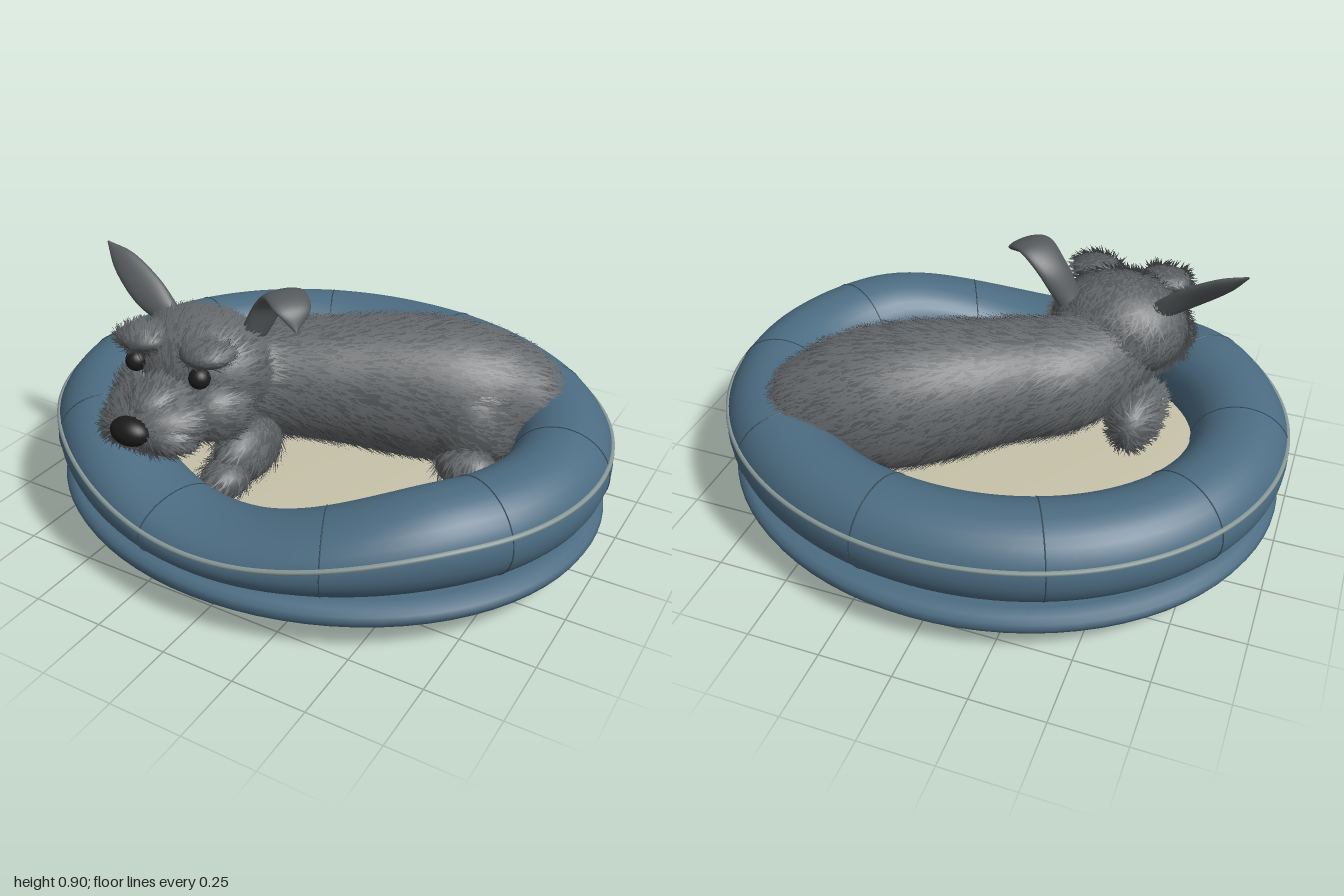
import * as THREE from 'three';

const mat = (name, color, side = THREE.FrontSide) => {
  const m = new THREE.MeshStandardMaterial({ color, side });
  m.name = name;
  return m;
};
const V = (x, y, z) => new THREE.Vector3(x, y, z);

export function createModel() {
  const model = new THREE.Group();
  model.name = 'dogInBed';
  const blue = mat('bedBlue', 0x4c6c82), cream = mat('cushionCream', 0xc6c1a8);
  const piping = mat('pipingGrey', 0x8b9c9b), seam = mat('seamSlate', 0x39505f);
  const coat = mat('coatGrey', 0x54585a), strand = mat('strandGrey', 0x66696c, THREE.DoubleSide);
  const black = mat('noseBlack', 0x1b1b1c);

  const add = (parent, name, geo, material) => {
    const m = new THREE.Mesh(geo, material);
    m.name = name;
    parent.add(m);
    return m;
  };
  let seed = 7;
  const rand = () => (seed = (seed * 16807) % 2147483647) / 2147483647;

  // Grid surface from a point function; closed in both index directions if asked
  function grid(nu, nv, fn) {
    const pos = [], idx = [];
    for (let i = 0; i <= nu; i++)
      for (let j = 0; j < nv; j++) pos.push(...fn(i / nu, j / nv * Math.PI * 2).toArray());
    for (let i = 0; i < nu; i++)
      for (let j = 0; j < nv; j++) {
        const a = i * nv + j, b = i * nv + (j + 1) % nv, c = a + nv, d = b + nv;
        idx.push(a, c, b, b, c, d);
      }
    const g = new THREE.BufferGeometry();
    g.setAttribute('position', new THREE.Float32BufferAttribute(pos, 3));
    g.setIndex(idx);
    g.computeVertexNormals();
    return g;
  }

  // Elliptical loft: sections are [x, y, z, half width, half height]
  function loft(sections, across, nu = 28, nv = 24) {
    const spine = new THREE.CatmullRomCurve3(sections.map(s => V(s[0], s[1], s[2])), false, 'catmullrom');
    const size = new THREE.CatmullRomCurve3(sections.map(s => V(s[3], s[4], 0)), false, 'catmullrom');
    return grid(nu, nv, (u, a) => {
      const t = spine.getTangent(u), r = size.getPoint(u);
      const side = across.clone().addScaledVector(t, -across.dot(t)).normalize();
      const up = side.clone().cross(t);
      return spine.getPoint(u).addScaledVector(side, Math.cos(a) * r.x).addScaledVector(up, Math.sin(a) * r.y);
    });
  }

  // Fur blades scattered by area, lying along the flow direction
  function fur(geo, count, flow, length = 0.05) {
    const p = geo.attributes.position, n = geo.attributes.normal, ix = geo.index.array;
    const tri = new THREE.Triangle(), sums = [];
    let total = 0;
    for (let f = 0; f < ix.length; f += 3) {
      tri.setFromAttributeAndIndices(p, ix[f], ix[f + 1], ix[f + 2]);
      sums.push(total += tri.getArea());
    }
    const pos = [], nor = [];
    for (let k = 0; k < count; k++) {
      const pick = rand() * total;
      let lo = 0, hi = sums.length - 1;
      while (lo < hi) {
        const mid = (lo + hi) >> 1;
        if (sums[mid] < pick) lo = mid + 1; else hi = mid;
      }
      let a = rand(), b = rand();
      if (a + b > 1) { a = 1 - a; b = 1 - b; }
      const w = [1 - a - b, a, b], c = V(0, 0, 0), m = V(0, 0, 0), v = V(0, 0, 0);
      for (let q = 0; q < 3; q++) {
        c.addScaledVector(v.fromBufferAttribute(p, ix[lo * 3 + q]), w[q]);
        m.addScaledVector(v.fromBufferAttribute(n, ix[lo * 3 + q]), w[q]);
      }
      m.normalize();
      const d = flow(c).normalize().add(V(rand() - 0.5, rand() - 0.5, rand() - 0.5).multiplyScalar(0.7));
      d.addScaledVector(m, -d.dot(m)).normalize();
      const s = m.clone().cross(d), len = length * (0.6 + 0.7 * rand());
      const tip = c.clone().addScaledVector(d, len).addScaledVector(m, 0.012 + 0.012 * rand());
      const root = c.clone().addScaledVector(m, 0.001);
      pos.push(...root.clone().addScaledVector(s, 0.004).toArray(), ...root.addScaledVector(s, -0.004).toArray(), ...tip.toArray());
      for (let q = 0; q < 3; q++) nor.push(m.x, m.y, m.z);
      // keep the blade facing outward
      const e = pos.length - 9, P = i => V(pos[e + i], pos[e + i + 1], pos[e + i + 2]);
      if (P(3).sub(P(0)).cross(P(6).sub(P(0))).dot(m) < 0)
        for (let q = 0; q < 3; q++) [pos[e + q], pos[e + 3 + q]] = [pos[e + 3 + q], pos[e + q]];
    }
    const g = new THREE.BufferGeometry();
    g.setAttribute('position', new THREE.Float32BufferAttribute(pos, 3));
    g.setAttribute('normal', new THREE.Float32BufferAttribute(nor, 3));
    return g;
  }
  const ball = (x, y, z, rx, ry, rz, n = 28) =>
    new THREE.SphereGeometry(1, n, Math.round(n * 0.7)).scale(rx, ry, rz).translate(x, y, z);
  const furry = (parent, name, geo, count, flow, length) => {
    add(parent, name, geo, coat);
    add(parent, name + 'Fur', fur(geo, count, flow, length), strand);
  };

  // Bed: lens base, cushion and bolster that dips at the front
  const bed = new THREE.Group();
  bed.name = 'bed';
  model.add(bed);
  const profile = [[0, 0], [0.25, 0.004], [0.5, 0.017], [0.7, 0.037], [0.85, 0.062], [0.94, 0.088], [0.975, 0.11],
    [0.985, 0.13], [0.98, 0.15], [0.96, 0.165], [0.92, 0.172], [0, 0.172]].map(q => new THREE.Vector2(...q));
  add(bed, 'base', new THREE.LatheGeometry(profile, 80).scale(1, 1, 0.873), blue);
  add(bed, 'cushion', ball(0, 0.165, 0, 0.8, 0.065, 0.68, 48), cream);

  const rim = (t, phi, grow = 0) => {
    const near = Math.abs(Math.atan2(Math.sin(t), Math.cos(t)));
    const dip = Math.cos(Math.min(near / 0.95, 1) * Math.PI / 2) ** 2;
    const top = 0.475 - 0.145 * dip, bottom = 0.165 - 0.02 * dip;
    const out = (0.165 + grow) * Math.cos(phi);
    return V((0.832 + out) * Math.sin(t), (top + bottom) / 2 + ((top - bottom) / 2 + grow) * Math.sin(phi),
      (0.698 + out) * Math.cos(t));
  };
  const bolster = grid(120, 32, (u, a) => rim(u * Math.PI * 2, -a));
  // match normals where the ring meets itself
  const bn = bolster.attributes.normal;
  for (let j = 0; j < 32; j++) {
    const k = 120 * 32 + j, m = V(0, 0, 0).fromBufferAttribute(bn, j).add(V(0, 0, 0).fromBufferAttribute(bn, k)).normalize();
    bn.setXYZ(j, m.x, m.y, m.z);
    bn.setXYZ(k, m.x, m.y, m.z);
  }
  // wind the ring so that its faces look outward
  if (V(0, 0, 0).fromBufferAttribute(bn, 0).z < 0) {
    bolster.index.array.reverse();
    for (let i = 0; i < bn.array.length; i++) bn.array[i] *= -1;
  }
  add(bed, 'bolster', bolster, blue);
  const ring = (n, fn) => new THREE.CatmullRomCurve3(Array.from({ length: n }, (_, i) => fn(i / n * Math.PI * 2)), true);
  add(bed, 'piping', new THREE.TubeGeometry(ring(80, t => rim(t, 0.32)), 200, 0.009, 6, true), piping);
  for (let i = 0; i < 10; i++) {
    const t = (96.8 + 36 * i) * Math.PI / 180;
    add(bed, 'bolsterSeam', new THREE.TubeGeometry(ring(32, a => rim(t, a)), 64, 0.0025, 4, true), seam);
  }

  // Body lying diagonally, with haunch, legs and tail
  const dog = new THREE.Group();
  dog.name = 'dog';
  model.add(dog);
  const back = () => V(0.8, -0.2, -0.5);
  furry(dog, 'body', loft([
    [-0.36, 0.5, 0.28, 0.16, 0.17], [-0.2, 0.47, 0.08, 0.2, 0.2], [0, 0.46, -0.03, 0.21, 0.22],
    [0.22, 0.44, -0.15, 0.235, 0.25], [0.4, 0.42, -0.23, 0.235, 0.25], [0.56, 0.4, -0.3, 0.19, 0.21],
    [0.67, 0.39, -0.33, 0.13, 0.14], [0.71, 0.38, -0.34, 0.003, 0.003]], V(0.55, 0, 0.83), 48, 36), 9000, back, 0.06);
  furry(dog, 'haunch', ball(0.46, 0.37, -0.14, 0.17, 0.19, 0.16), 900, back);
  furry(dog, 'tail', ball(0.65, 0.42, -0.38, 0.07, 0.05, 0.05), 250, back);
  const forward = () => V(0, -0.4, 1);
  furry(dog, 'hindPaw', ball(0.53, 0.27, -0.01, 0.11, 0.075, 0.08), 500, forward);
  for (const [x, z] of [[-0.13, 0.32], [-0.45, 0.13]]) {
    furry(dog, 'foreleg', ball(x, 0.32, z, 0.09, 0.11, 0.16), 700, forward);
    furry(dog, 'forePaw', ball(x, 0.28, z + 0.14, 0.08, 0.065, 0.09), 400, forward);
  }

  // Head, with fur combed away from the nose
  const head = new THREE.Group();
  head.name = 'head';
  dog.add(head);
  const hx = -0.33;
  const comb = c => c.clone().sub(V(hx, 0.54, 0.72));
  furry(head, 'skull', ball(hx, 0.58, 0.29, 0.245, 0.185, 0.2, 36), 3000, comb);
  furry(head, 'muzzle', ball(hx, 0.5, 0.52, 0.18, 0.1, 0.165), 1400, comb, 0.04);
  furry(head, 'noseBridge', ball(hx, 0.555, 0.52, 0.095, 0.07, 0.13), 500, comb, 0.035);
  furry(head, 'chin', ball(hx, 0.435, 0.54, 0.09, 0.045, 0.1), 300, comb, 0.035);
  for (const s of [-1, 1]) {
    furry(head, 'cheek', ball(hx + s * 0.13, 0.5, 0.4, 0.115, 0.11, 0.13), 700, comb);
    furry(head, 'jowl', ball(hx + s * 0.075, 0.475, 0.58, 0.095, 0.065, 0.095), 500, comb, 0.035);
    furry(head, 'brow', ball(hx + s * 0.125, 0.705, 0.43, 0.09, 0.04, 0.075), 400, comb, 0.035);
    add(head, 'eye', ball(hx + s * 0.127, 0.638, 0.472, 0.036, 0.036, 0.036, 20), black);
  }
  add(head, 'nose', ball(hx, 0.512, 0.68, 0.07, 0.047, 0.05, 24), black);
  add(head, 'mouth', ball(hx, 0.437, 0.638, 0.035, 0.007, 0.01, 12), black);

  // One upright ear and one folded ear
  add(head, 'rightEar', loft([[-0.48, 0.69, 0.24, 0.04, 0.03], [-0.58, 0.765, 0.235, 0.058, 0.022],
    [-0.69, 0.845, 0.215, 0.044, 0.016], [-0.77, 0.9, 0.2, 0.003, 0.003]], V(0.45, 0.6, -0.55)), coat);
  add(head, 'leftEar', loft([[-0.17, 0.7, 0.2, 0.05, 0.03], [-0.11, 0.81, 0.19, 0.06, 0.022],
    [-0.04, 0.868, 0.22, 0.07, 0.018], [0.025, 0.845, 0.27, 0.06, 0.015], [0.055, 0.79, 0.3, 0.004, 0.004]],
    V(0.5, 0, -0.8)), coat);
  return model;
}
